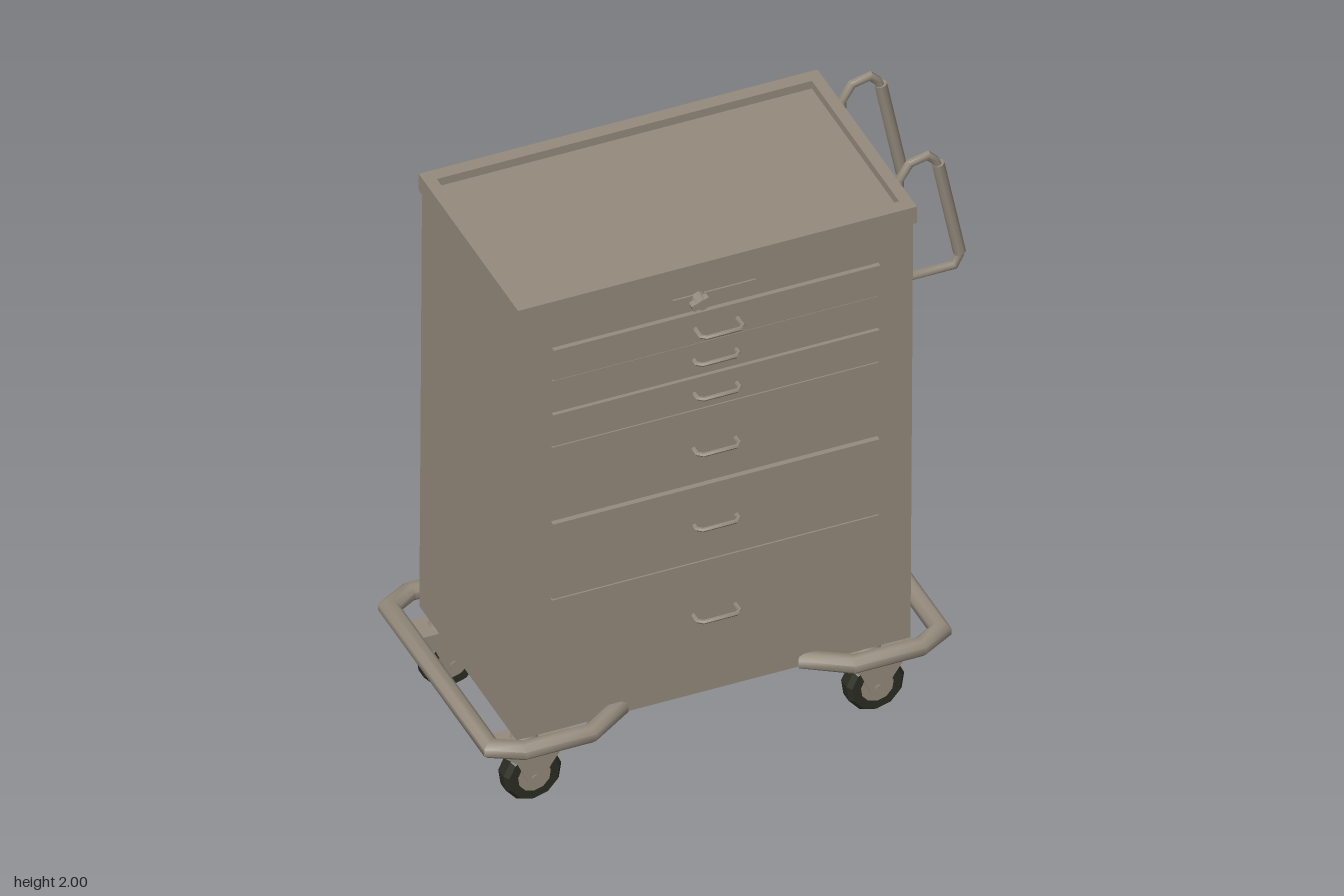
import * as THREE from 'three';
import { toCreasedNormals } from 'three/addons/utils/BufferGeometryUtils.js';

const paint = new THREE.MeshStandardMaterial({ color: 0x948a7c });
paint.name = 'taupe paint';
const rubber = new THREE.MeshStandardMaterial({ color: 0x2b2c21 });
rubber.name = 'dark rubber';

function add(parent, name, geo, x = 0, y = 0, z = 0, mat = paint) {
  const mesh = new THREE.Mesh(geo, mat);
  mesh.name = name;
  mesh.position.set(x, y, z);
  parent.add(mesh);
  return mesh;
}

// box given by its limits on each axis
function block(parent, name, [x0, x1], [y0, y1], [z0, z1]) {
  return add(parent, name, new THREE.BoxGeometry(x1 - x0, y1 - y0, z1 - z0),
    (x0 + x1) / 2, (y0 + y1) / 2, (z0 + z1) / 2);
}

// mitred tube along a planar path; n is the normal of the path's plane
function bentTube(points, radius, n, sides = 8) {
  const p = points.map((q) => new THREE.Vector3(...q));
  const pos = [], index = [], last = p.length - 1;
  p.forEach((q, i) => {
    const before = q.clone().sub(p[Math.max(i - 1, 0)]).normalize();
    const after = p[Math.min(i + 1, last)].clone().sub(q).normalize();
    const t = before.clone().add(after).normalize();
    const mitre = 1 / t.dot(i < last ? after : before);
    const v = t.clone().cross(n).multiplyScalar(mitre);
    for (let j = 0; j < sides; j++) {
      const a = ((j + 0.5) / sides) * Math.PI * 2;
      const c = q.clone().addScaledVector(n, radius * Math.cos(a)).addScaledVector(v, radius * Math.sin(a));
      pos.push(c.x, c.y, c.z);
    }
  });
  for (let j = 0; j < sides; j++) {
    const k = (j + 1) % sides;
    for (let i = 0; i < last; i++) {
      const a = i * sides, b = a + sides;
      index.push(a + j, a + k, b + j, a + k, b + k, b + j);
    }
    if (j > 0 && k > 0) {
      const e = last * sides;
      index.push(0, k, j, e, e + j, e + k);
    }
  }
  const geo = new THREE.BufferGeometry();
  geo.setAttribute('position', new THREE.Float32BufferAttribute(pos, 3));
  geo.setIndex(index);
  return toCreasedNormals(geo, 0.85);
}

const X = new THREE.Vector3(1, 0, 0), Y = new THREE.Vector3(0, 1, 0), Z = new THREE.Vector3(0, 0, 1);
const FRONT = 0.362;

function rectangle(path, x0, x1, y0, y1) {
  path.moveTo(x0, y0);
  path.lineTo(x1, y0);
  path.lineTo(x1, y1);
  path.lineTo(x0, y1);
  path.closePath();
  return path;
}

function buildCabinet() {
  const g = new THREE.Group();
  g.name = 'cabinet';
  block(g, 'cabinetBody', [-0.71, 0.6], [0.275, 1.9], [-0.373, FRONT]);

  // raised rim around the sunken top
  const frame = rectangle(new THREE.Shape(), -0.72, 0.606, -0.376, 0.376);
  frame.holes.push(rectangle(new THREE.Path(), -0.68, 0.567, -0.33, 0.33));
  const rim = new THREE.ExtrudeGeometry(frame, { depth: 0.062, bevelEnabled: false });
  rim.rotateX(-Math.PI / 2);
  add(g, 'topRim', rim, 0, 1.867, 0);

  // drawers: bottom, top, thickness, handle height, handle reach
  const drawers = [
    [1.624, 1.746, 0.016, 1.685, 0.06],
    [1.497, 1.624, 0.008, 1.56, 0.03],
    [1.37, 1.497, 0.013, 1.435, 0.04],
    [1.083, 1.37, 0.008, 1.222, 0.04],
    [0.79, 1.083, 0.018, 0.935, 0.04],
    [0.397, 0.79, 0.014, 0.59, 0.05],
  ];
  for (const [y0, y1, thick, hy, reach] of drawers) {
    block(g, 'drawerFront', [-0.6, 0.485], [y0 + 0.004, y1 - 0.004], [FRONT - 0.01, FRONT + thick]);
    const z0 = FRONT + thick - 0.005, z1 = FRONT + 0.01 + reach;
    add(g, 'drawerHandle', bentTube([
      [-0.13, hy, z0], [-0.13, hy, z1 - 0.012], [-0.115, hy, z1],
      [-0.005, hy, z1], [0.01, hy, z1 - 0.012], [0.01, hy, z0],
    ], 0.007, Y, 6));
  }

  // lock plate with turning knob
  block(g, 'lockPlate', [-0.2, 0.075], [1.772, 1.805], [FRONT - 0.01, FRONT + 0.006]);
  const barrel = new THREE.CylinderGeometry(0.02, 0.026, 0.04, 8);
  barrel.rotateX(Math.PI / 2);
  add(g, 'lockKnob', barrel, -0.115, 1.787, FRONT + 0.02);
  const grip = block(g, 'lockGrip', [-0.15, -0.09], [1.777, 1.801], [FRONT + 0.015, FRONT + 0.038]);
  grip.rotation.z = 0.35;
  return g;
}

// wrap-around bumper seen at one end; s is the end's direction along x
function buildBumper(s, xEnd) {
  const half = [[0.45, 0.345], [0.31, 0.435], [0.09, 0.435], [0, 0.385]];
  const side = (k) => half.map(([dx, z]) => [xEnd - s * dx, 0.29, k * z]);
  const path = [...side(1), ...side(-1).reverse()];
  return bentTube(path, 0.031, Y);
}

function buildPushHandle() {
  const g = new THREE.Group();
  g.name = 'sideHandle';
  add(g, 'handleUpperBar', bentTube([
    [0.607, 1.7, 0], [0.617, 1.92, 0], [0.65, 1.972, 0], [0.71, 1.985, 0], [0.735, 1.96, 0], [0.75, 1.92, 0],
  ], 0.014, Z));
  add(g, 'handleGrip', bentTube([[0.745, 1.945, 0], [0.818, 1.585, 0]], 0.02, Z));
  add(g, 'handleLowerBar', bentTube([
    [0.812, 1.61, 0], [0.818, 1.575, 0], [0.8, 1.54, 0], [0.622, 1.54, 0], [0.61, 1.555, 0], [0.607, 1.63, 0],
  ], 0.014, Z));
  return g;
}

function buildCaster() {
  const g = new THREE.Group();
  g.name = 'caster';
  // low-sided wheel with rounded tread
  const profile = [[0.055, -0.036], [0.084, -0.036], [0.097, -0.02], [0.097, 0.02], [0.084, 0.036], [0.055, 0.036]]
    .map(([r, h]) => new THREE.Vector2(r, h));
  const tyre = new THREE.LatheGeometry(profile, 11);
  tyre.rotateX(Math.PI / 2);
  add(g, 'tyre', toCreasedNormals(tyre, 0.3), 0, 0.103, 0, rubber);
  const hub = new THREE.CylinderGeometry(0.058, 0.058, 0.066, 11);
  hub.rotateX(Math.PI / 2);
  add(g, 'hub', hub, 0, 0.103, 0);
  const axle = new THREE.CylinderGeometry(0.015, 0.015, 0.104, 8);
  axle.rotateX(Math.PI / 2);
  add(g, 'axle', axle, 0, 0.103, 0);

  // tapering fork cheeks under a crown
  const cheek = new THREE.Shape([[-0.115, 0.238], [-0.1, 0.205], [-0.06, 0.17], [-0.025, 0.09], [0.025, 0.09],
    [0.05, 0.14], [0.085, 0.19], [0.09, 0.238]].map(([x, y]) => new THREE.Vector2(x, y)));
  const cheekGeo = new THREE.ExtrudeGeometry(cheek, { depth: 0.008, bevelEnabled: false });
  for (const z of [-0.048, 0.04]) add(g, 'forkCheek', cheekGeo, 0, 0, z);
  block(g, 'forkCrown', [-0.115, 0.09], [0.212, 0.238], [-0.048, 0.048]);
  add(g, 'swivel', new THREE.CylinderGeometry(0.036, 0.045, 0.02, 10), -0.02, 0.246, 0);
  add(g, 'stem', new THREE.CylinderGeometry(0.027, 0.027, 0.05, 10), -0.02, 0.262, 0);
  const pedal = block(g, 'brakePedal', [0.05, 0.135], [0.2, 0.216], [-0.038, 0.038]);
  pedal.rotation.z = -0.08;
  return g;
}

export function createModel() {
  const model = new THREE.Group();
  model.name = 'drawerTrolley';
  model.add(buildCabinet());
  add(model, 'rightBumper', buildBumper(-1, -0.806));
  add(model, 'leftBumper', buildBumper(1, 0.69));
  for (const z of [0.22, -0.215]) {
    const handle = buildPushHandle();
    handle.position.z = z;
    model.add(handle);
  }
  for (const x of [-0.64, 0.5]) {
    for (const z of [0.305, -0.315]) {
      const caster = buildCaster();
      caster.position.set(x, 0, z);
      model.add(caster);
    }
  }
  // the trolley leans very slightly forward
  model.rotation.x = 0.0125;
  return model;
}
